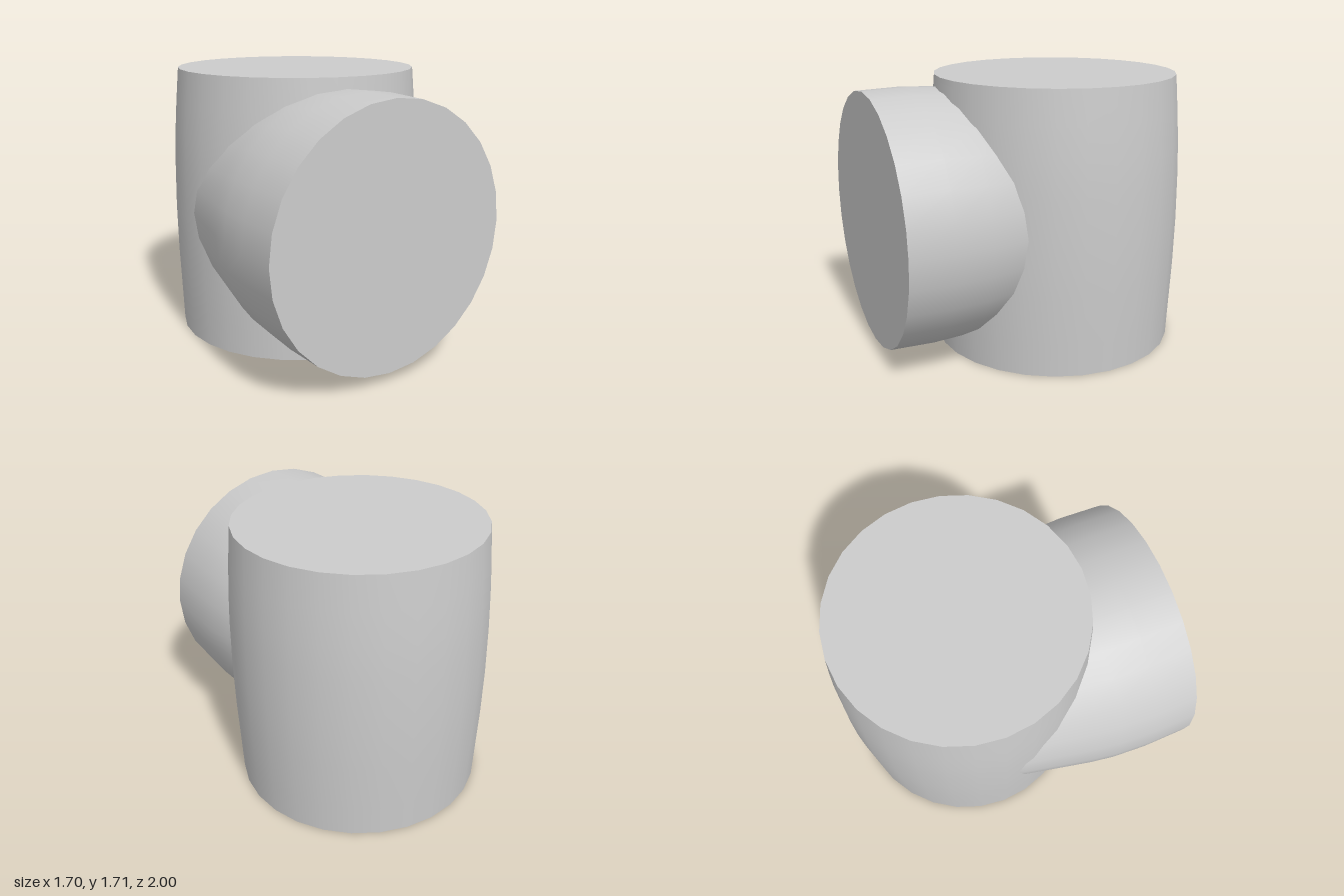
import * as THREE from 'three';

const SIDES = 28;

// Barrel standing along +y from [radius, height] pairs, with flat, sharp-edged end caps.
function makeBarrel(name, profile, capBottom) {
  const material = new THREE.MeshStandardMaterial({ color: 0xcccccc, side: THREE.DoubleSide });
  const barrel = new THREE.Group();
  barrel.name = name;

  const points = profile.map(([r, h]) => new THREE.Vector2(r, h));
  const wall = new THREE.Mesh(new THREE.LatheGeometry(points, SIDES), material);
  wall.name = name + 'Wall';
  barrel.add(wall);

  const addCap = ([r, h], facing, label) => {
    const cap = new THREE.Mesh(new THREE.CircleGeometry(r, SIDES).rotateX(-facing * Math.PI / 2), material);
    cap.position.y = h;
    cap.name = name + label;
    barrel.add(cap);
  };
  addCap(profile[profile.length - 1], 1, 'EndCap');
  if (capBottom) addCap(profile[0], -1, 'BaseCap');
  return barrel;
}

export function createModel() {
  const model = new THREE.Group();
  model.name = 'barrelJoint';

  // Upright bulging body
  const body = makeBarrel('body', [
    [0.772, 0], [0.78, 0.2], [0.792, 0.5], [0.797, 0.8],
    [0.793, 1.1], [0.785, 1.3], [0.771, 1.5], [0.753, 1.71],
  ], true);
  body.position.set(0.05, 0, -0.205);
  model.add(body);

  // Forward-facing barrel, narrowing into the body
  const spout = makeBarrel('frontBarrel', [
    [0.65, -0.2], [0.68, -0.08], [0.735, 0.2], [0.764, 0.35],
    [0.785, 0.5], [0.795, 0.72], [0.787, 0.9925],
  ], false);
  spout.rotation.x = Math.PI / 2;

  // Slight yaw of the front barrel
  const spoutMount = new THREE.Group();
  spoutMount.name = 'frontBarrelMount';
  spoutMount.add(spout);
  spoutMount.position.set(-0.067, 0.855, 0);
  spoutMount.rotation.y = 0.0095;
  model.add(spoutMount);

  return model;
}
